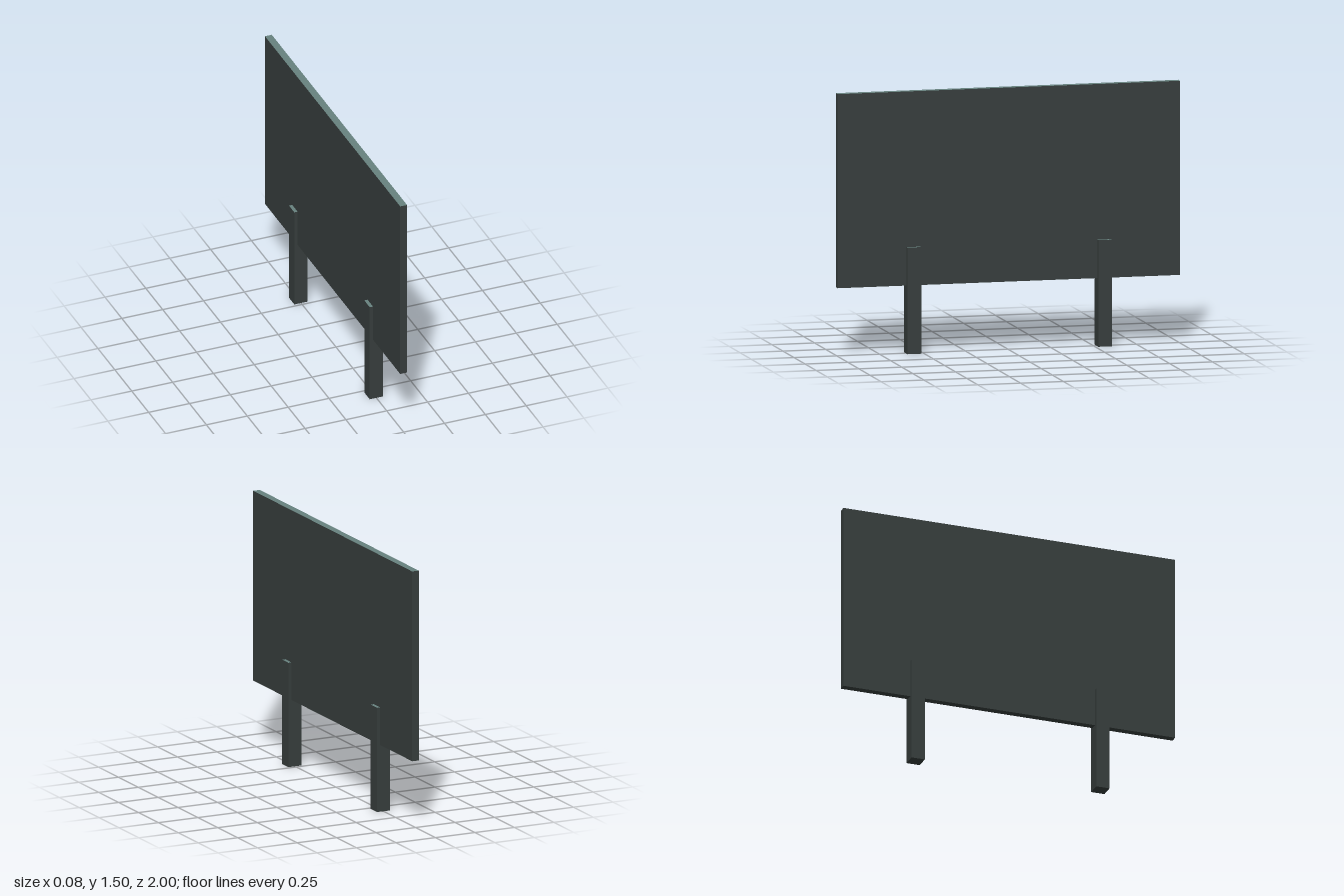
import * as THREE from 'three';

export function createModel() {
  const model = new THREE.Group();
  model.name = 'signBoard';

  const body = new THREE.MeshStandardMaterial({ color: 0x373e3d });
  body.name = 'darkSlate';
  const cap = new THREE.MeshStandardMaterial({ color: 0x67827f });
  cap.name = 'greyTeal';

  // Box standing on a given height, with a paler upper face
  function block(name, width, height, depth, bottom, z) {
    const materials = [body, body, cap, body, body, body];
    const mesh = new THREE.Mesh(new THREE.BoxGeometry(width, height, depth), materials);
    mesh.name = name;
    mesh.position.set(0, bottom + height / 2, z);
    model.add(mesh);
  }

  // Upright board
  block('panel', 0.042, 1.11, 2, 0.39, 0);

  // Two posts gripping the lower edge of the board
  block('frontPost', 0.082, 0.61, 0.08, 0, 0.557);
  block('backPost', 0.082, 0.61, 0.08, 0, -0.557);

  return model;
}
